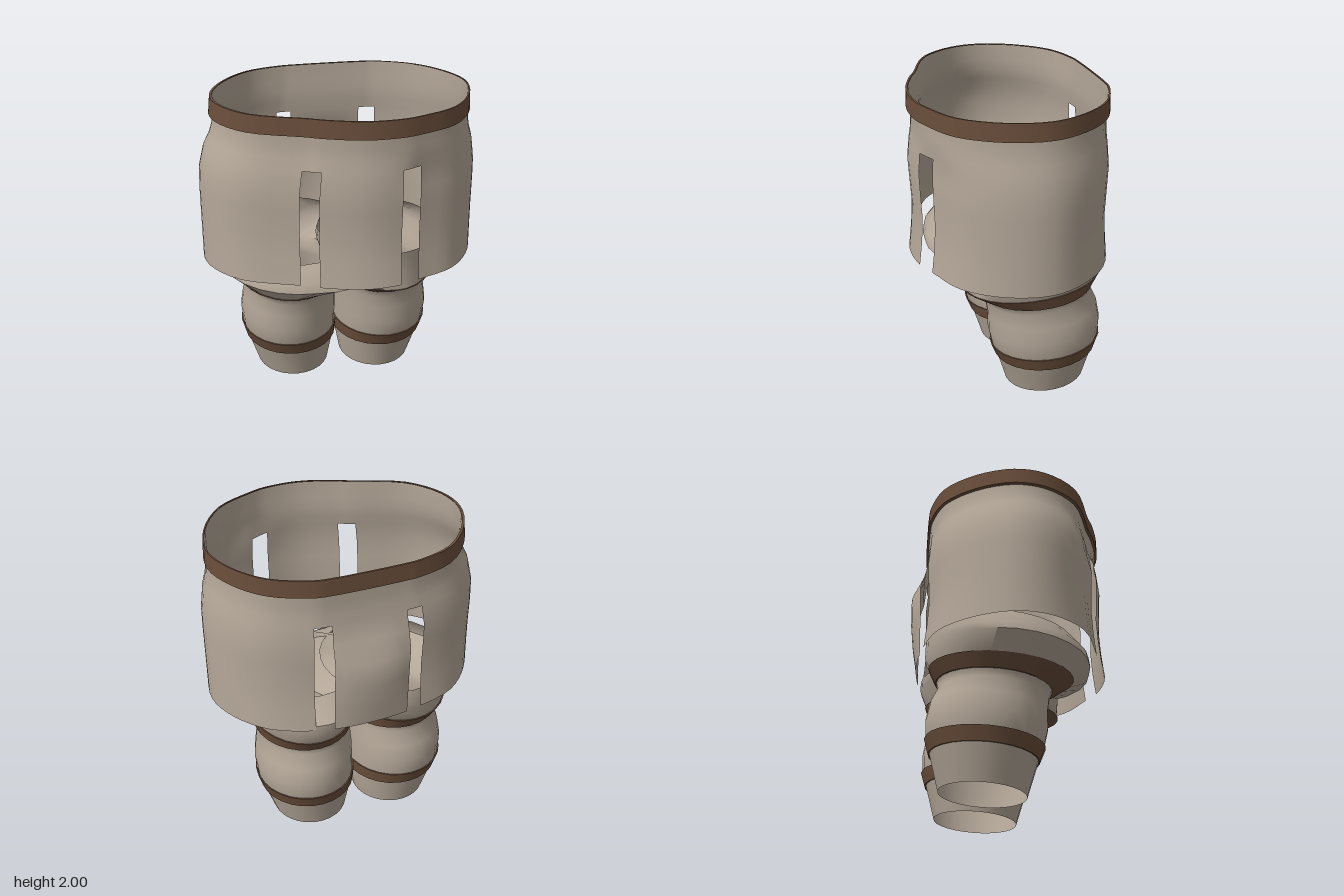
import * as THREE from 'three';
import { toCreasedNormals } from 'three/addons/utils/BufferGeometryUtils.js';

const cloth = new THREE.MeshStandardMaterial({ color: 0xb4a798, side: THREE.DoubleSide });
cloth.name = 'tan cloth';
const trim = new THREE.MeshStandardMaterial({ color: 0x6a4e3b, side: THREE.DoubleSide });
trim.name = 'brown trim';

// Joins closed rings, listed top to bottom; skip(row, column) leaves a hole.
function loft(rings, crease = 0.75, skip = () => false) {
  const n = rings[0].length, index = [];
  for (let r = 0; r < rings.length - 1; r++) {
    for (let i = 0; i < n; i++) {
      if (skip(r, i)) continue;
      const j = (i + 1) % n;
      const a = r * n + i, b = a + n, c = (r + 1) * n + j, d = r * n + j;
      index.push(a, b, c, a, c, d);
    }
  }
  const geo = new THREE.BufferGeometry().setFromPoints(rings.flat());
  geo.setIndex(index);
  return toCreasedNormals(geo, crease);
}

function mesh(name, geo, material) {
  const m = new THREE.Mesh(geo, material);
  m.name = name;
  return m;
}

// Skirt outline [x, z] from the front flap round by the left side; slit edges are points
const plan = [
  [-0.22, 0.57], [0.03, 0.64], [0.27, 0.635], [0.39, 0.6], [0.64, 0.48],
  [0.815, 0.235], [0.87, -0.03], [0.79, -0.25], [0.62, -0.44], [0.36, -0.555],
  [0.25, -0.568], [0, -0.572], [-0.23, -0.568], [-0.33, -0.56], [-0.58, -0.48],
  [-0.775, -0.285], [-0.875, -0.05], [-0.85, 0.155], [-0.68, 0.375], [-0.33, 0.52],
];
const STEP = 4;
const curve = new THREE.CatmullRomCurve3(plan.map(([x, z]) => new THREE.Vector3(x, 0, z)), true);
const outline = Array.from({ length: plan.length * STEP }, (_, i) => curve.getPoint(i / (plan.length * STEP)));

// One level of the skirt: x and z scale, bulge of the back flap, tuck beside the left front slit
function skirtRing(y, sx, sz, bulge = 0, tuck = 0) {
  return outline.map((p, i) => {
    const u = i / STEP, t = u - 11;
    const out = Math.abs(t) <= 1 ? bulge * (1 - 0.55 * t * t) : 0;
    const pull = tuck * Math.max(0, 1 - Math.abs(u - 3.2) / 1.8);
    return new THREE.Vector3(p.x * sx + (1 - sx) * 0.25, y, p.z * sz - out - pull);
  });
}

function skirt() {
  const rows = [
    [1.998, 0.904, 0.965], [1.89, 0.905, 0.96], [1.82, 0.914, 0.95], [1.75, 0.935, 0.955],
    [1.68, 0.967, 0.97, 0, 0.03], [1.55, 0.995, 0.99, 0.005, 0.035], [1.43, 1, 0.98, 0.09, 0.03],
    [1.25, 1, 0.965, 0.095, 0.025], [1.1, 1, 0.98, 0.07, 0.025], [0.94, 1, 1.01, 0.025, 0.025],
  ];
  const slits = [2, 9, 12, 19];
  return loft(rows.map((r) => skirtRing(...r)), 0.9,
    (r, i) => r >= 4 && slits.includes(Math.floor(i / STEP)));
}

// Wraps the outside of the skirt only
function waistband() {
  return loft([
    skirtRing(2, 0.904, 0.966), skirtRing(2, 0.918, 0.985),
    skirtRing(1.89, 0.928, 0.988), skirtRing(1.89, 0.906, 0.961),
  ]);
}

// Oval leg ring, tilted up to the back; swell fills out the front left quarter
function legRing([y, cx, cz, rx, rz, tiltX = 0, swell = 0], side, grow = 0) {
  return Array.from({ length: 28 }, (_, i) => {
    const a = (i / 28) * Math.PI * 2, s = Math.sin(a), c = Math.cos(a);
    const k = 1 + swell * Math.max(0, s) * Math.max(0, c);
    const dx = (rx + grow) * s * k, dz = (rz + grow) * c * k;
    return new THREE.Vector3(side * cx + dx, y - dz * 0.06 + dx * tiltX, cz + dz);
  });
}

// Below the top of the knee band, shared by both legs: [y, cx, cz, rx, rz]
const lowerLeg = [
  [0.695, 0.305, -0.12, 0.305, 0.355],
  [0.65, 0.3, -0.125, 0.3, 0.345], [0.55, 0.312, -0.155, 0.312, 0.36],
  [0.44, 0.32, -0.165, 0.32, 0.37], [0.325, 0.315, -0.175, 0.315, 0.355],
  [0.235, 0.305, -0.18, 0.3, 0.325], [0.018, 0.29, -0.185, 0.245, 0.265],
];
// Flared cuffs down to the top of the knee band, the right one wider
const cuffs = {
  left: [
    [1.045, 0.27, -0.01, 0.4, 0.39], [0.94, 0.275, -0.1, 0.4, 0.465],
    [0.88, 0.28, -0.1, 0.385, 0.465], [0.775, 0.312, -0.08, 0.32, 0.44],
  ],
  right: [
    [1.03, 0.29, -0.08, 0.42, 0.46], [0.95, 0.23, -0.035, 0.54, 0.515, 0.05, 0.12],
    [0.885, 0.225, -0.03, 0.55, 0.52, 0.01, 0.18], [0.775, 0.328, -0.08, 0.34, 0.44],
  ],
};

function leg(name, side) {
  const group = new THREE.Group();
  group.name = name + 'Leg';
  const rows = [...cuffs[name], ...lowerLeg];
  group.add(mesh(name + 'LegCloth', loft(rows.map((r) => legRing(r, side)), 0.8), cloth));
  // Knee and shin bands
  for (const [part, k] of [['KneeBand', 3], ['ShinBand', 8]]) {
    const [top, low] = [rows[k], rows[k + 1]];
    group.add(mesh(name + part, loft([
      legRing(top, side, 0.002), legRing(top, side, 0.01),
      legRing(low, side, 0.01), legRing(low, side, 0.002),
    ]), trim));
  }
  return group;
}

export function createModel() {
  const model = new THREE.Group();
  model.name = 'skirtedTrousers';
  model.add(mesh('skirt', skirt(), cloth), mesh('waistband', waistband(), trim));
  model.add(leg('left', 1), leg('right', -1));
  return model;
}
